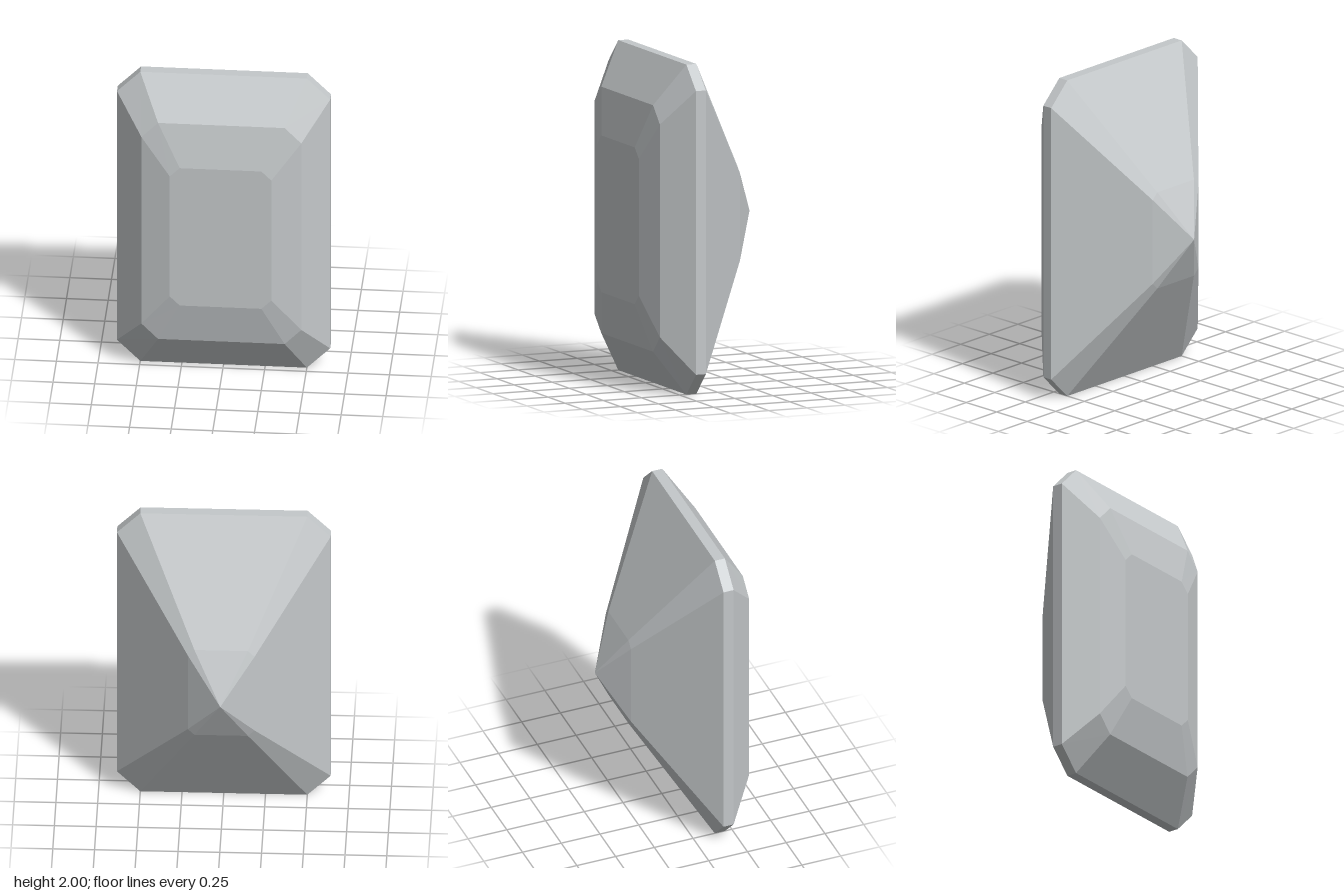
import * as THREE from 'three';

// Cut-corner rectangle: half width, half height, corner x, corner y, depth
const ring = (w, h, cx, cy, z) =>
  [[w, -cy], [w, cy], [cx, h], [-cx, h], [-w, cy], [-w, -cy], [-cx, -h], [cx, -h]]
    .map(([x, y]) => new THREE.Vector3(x, y + 1, z));

const table = ring(0.305, 0.475, 0.245, 0.415, 0.43);
const crownMid = ring(0.48, 0.747, 0.38, 0.645, 0.37);
const girdleFront = ring(0.64, 1, 0.5, 0.86, 0.205);
const girdleBack = ring(0.64, 1, 0.5, 0.86, 0.14);
const pavilionMid = ring(0.2, 0.305, 0.16, 0.265, -0.28);
const tip = ring(0, 0, 0, 0, -0.432);

// Flat facets joining each ring to the one behind it
function band(front, back) {
  const points = [];
  const add = (a, b, c) => {
    if (a.distanceTo(b) > 1e-6 && b.distanceTo(c) > 1e-6) points.push(a, b, c);
  };
  for (let i = 0; i < 8; i++) {
    const j = (i + 1) % 8;
    add(front[i], back[i], front[j]);
    add(front[j], back[i], back[j]);
  }
  return points;
}

// Flat face filling a front ring
function cap(r) {
  const points = [];
  for (let i = 1; i < 7; i++) points.push(r[0], r[i], r[i + 1]);
  return points;
}

export function createModel() {
  const gem = new THREE.Group();
  gem.name = 'emeraldCutGem';
  const crystal = new THREE.MeshStandardMaterial({ color: 0xc4c8ca });
  crystal.name = 'pale grey crystal';

  const parts = {
    table: cap(table),
    upperCrown: band(table, crownMid),
    lowerCrown: band(crownMid, girdleFront),
    girdle: band(girdleFront, girdleBack),
    upperPavilion: band(girdleBack, pavilionMid),
    pavilionTip: band(pavilionMid, tip),
  };
  for (const [name, points] of Object.entries(parts)) {
    const geometry = new THREE.BufferGeometry().setFromPoints(points);
    geometry.computeVertexNormals(); // unshared corners keep facets flat
    const mesh = new THREE.Mesh(geometry, crystal);
    mesh.name = name;
    gem.add(mesh);
  }
  return gem;
}
